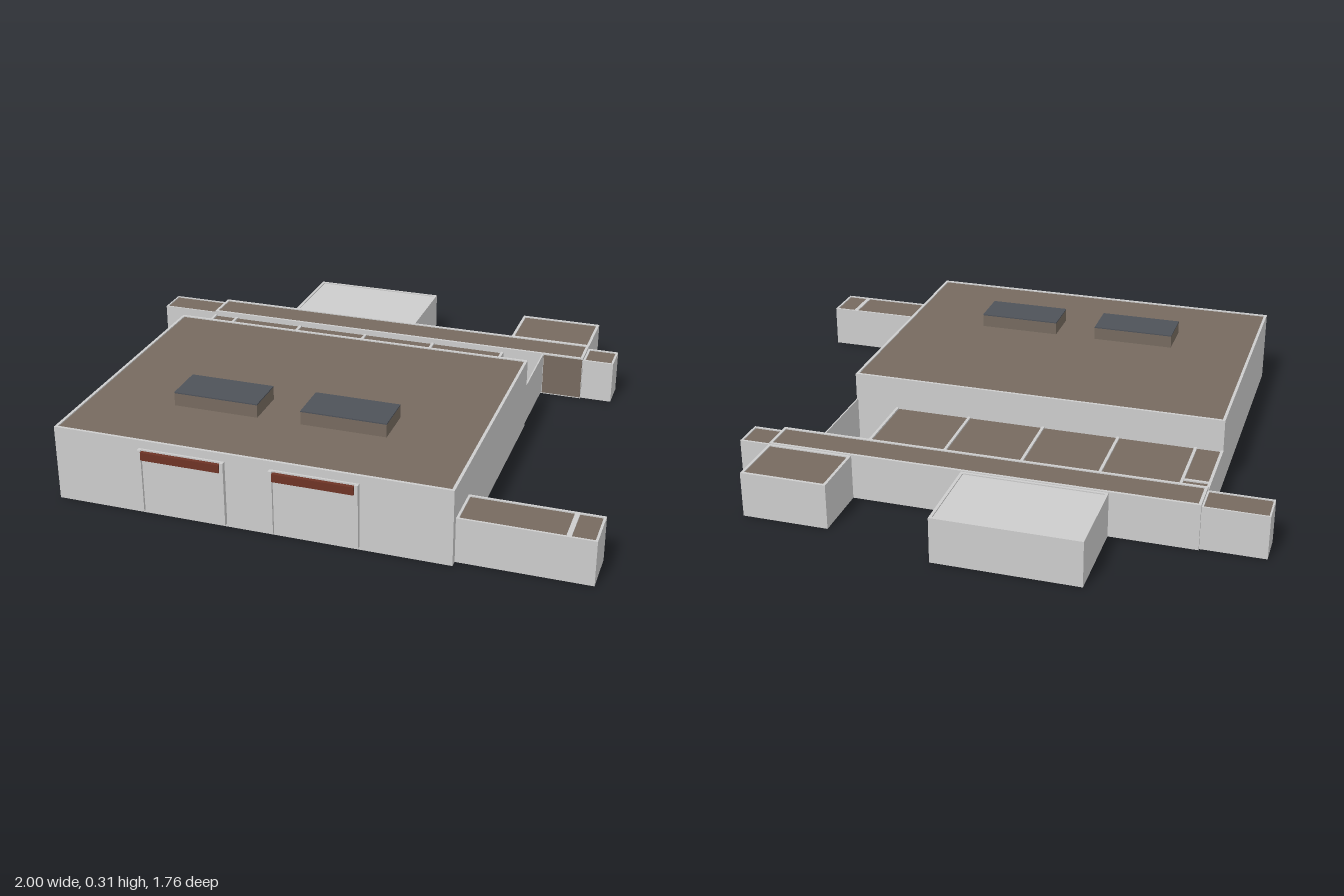
import * as THREE from 'three';

const mat = (name, color) => new THREE.MeshStandardMaterial({ name, color });

export function createModel() {
  const wall = mat('wallGrey', 0xcccccc);
  const roof = mat('roofBrown', 0x766a5f);
  const slate = mat('slateGrey', 0x4e5259);
  const rust = mat('rustRed', 0x6e3426);
  const model = new THREE.Group();

  // Axis-aligned box from its limits
  function box(name, material, x0, x1, y0, y1, z0, z1, parent = model) {
    const mesh = new THREE.Mesh(new THREE.BoxGeometry(x1 - x0, y1 - y0, z1 - z0), material);
    mesh.position.set((x0 + x1) / 2, (y0 + y1) / 2, (z0 + z1) / 2);
    mesh.name = name;
    parent.add(mesh);
    return mesh;
  }

  // Rectangular building with a slightly sunken roof inside a thin parapet
  function building(name, x0, x1, z0, z1, h, roofMat = roof, rim = 0.01) {
    const g = new THREE.Group();
    g.name = name;
    model.add(g);
    const deck = h - 0.008;
    box(name + 'Walls', wall, x0, x1, 0, deck, z0, z1, g);
    box(name + 'Roof', roofMat, x0 + rim, x1 - rim, deck, deck + 0.004, z0 + rim, z1 - rim, g);
    const rect = (P, a, b, c, d) => new P([[a, c], [b, c], [b, d], [a, d]].map(p => new THREE.Vector2(...p)));
    const shape = rect(THREE.Shape, x0, x1, -z1, -z0);
    shape.holes.push(rect(THREE.Path, x0 + rim, x1 - rim, -z1 + rim, -z0 - rim));
    const parapet = new THREE.Mesh(
      new THREE.ExtrudeGeometry(shape, { depth: h - deck, bevelEnabled: false }), wall);
    parapet.rotation.x = -Math.PI / 2;
    parapet.position.y = deck;
    parapet.name = name + 'Parapet';
    g.add(parapet);
  }

  // Main hall and its attached volumes
  building('mainHall', -0.78, 0.567, -0.137, 0.86, 0.263);
  building('rearCorridor', -0.78, 0.717, -0.56, -0.43, 0.165);
  building('rearAnnex', -0.48, 0.022, -0.88, -0.56, 0.162, wall);
  building('rearStore', 0.413, 0.717, -0.78, -0.56, 0.162);
  building('corridorEndRight', -1, -0.78, -0.552, -0.437, 0.155, roof, 0.006);
  building('corridorEndLeft', 0.717, 0.83, -0.552, -0.437, 0.155, roof, 0.008);
  building('frontWing', 0.567, 0.912, 0.68, 0.835, 0.155, roof, 0.008);
  building('frontWingEnd', 0.912, 1, 0.68, 0.835, 0.155, roof, 0.008);

  // Low linking bays between the hall and the corridor, with grey dividers
  box('linkWalls', wall, -0.78, 0.413, 0, 0.14, -0.43, -0.137);
  box('linkRoof', roof, -0.772, 0.405, 0.14, 0.144, -0.43, -0.137);
  for (const x of [-0.776, -0.685, -0.412, -0.14, 0.134, 0.408])
    box('linkDivider', wall, x - 0.005, x + 0.005, 0.135, 0.15, -0.43, -0.137);
  box('linkCrossDivider', wall, -0.772, -0.69, 0.135, 0.149, -0.378, -0.368);

  // Open yard screen and the dark corridor face beside it
  box('yardScreen', wall, 0.562, 0.567, 0.01, 0.163, -0.43, -0.137);
  box('corridorPanel', roof, 0.569, 0.715, 0.005, 0.16, -0.43, -0.427);

  // Roof units and loading doors, one pair per bay
  for (const [x0, x1] of [[-0.477, -0.18], [-0.028, 0.267]]) {
    box('roofUnit', roof, x0, x1, 0.255, 0.304, 0.437, 0.585);
    box('roofUnitTop', slate, x0, x1, 0.304, 0.308, 0.437, 0.585);
    const door = new THREE.Group();
    door.name = 'loadingDoor';
    model.add(door);
    box('doorPanel', wall, x0 + 0.012, x1 - 0.012, 0.012, 0.2, 0.86, 0.867, door);
    box('doorPostRight', wall, x0, x0 + 0.012, 0.012, 0.235, 0.86, 0.876, door);
    box('doorPostLeft', wall, x1 - 0.012, x1, 0.012, 0.235, 0.86, 0.876, door);
    box('doorLintel', wall, x0 + 0.012, x1 - 0.012, 0.2, 0.235, 0.86, 0.867, door);
    box('doorHeader', rust, x0 + 0.013, x1 - 0.013, 0.202, 0.23, 0.867, 0.88, door);
  }
  return model;
}
